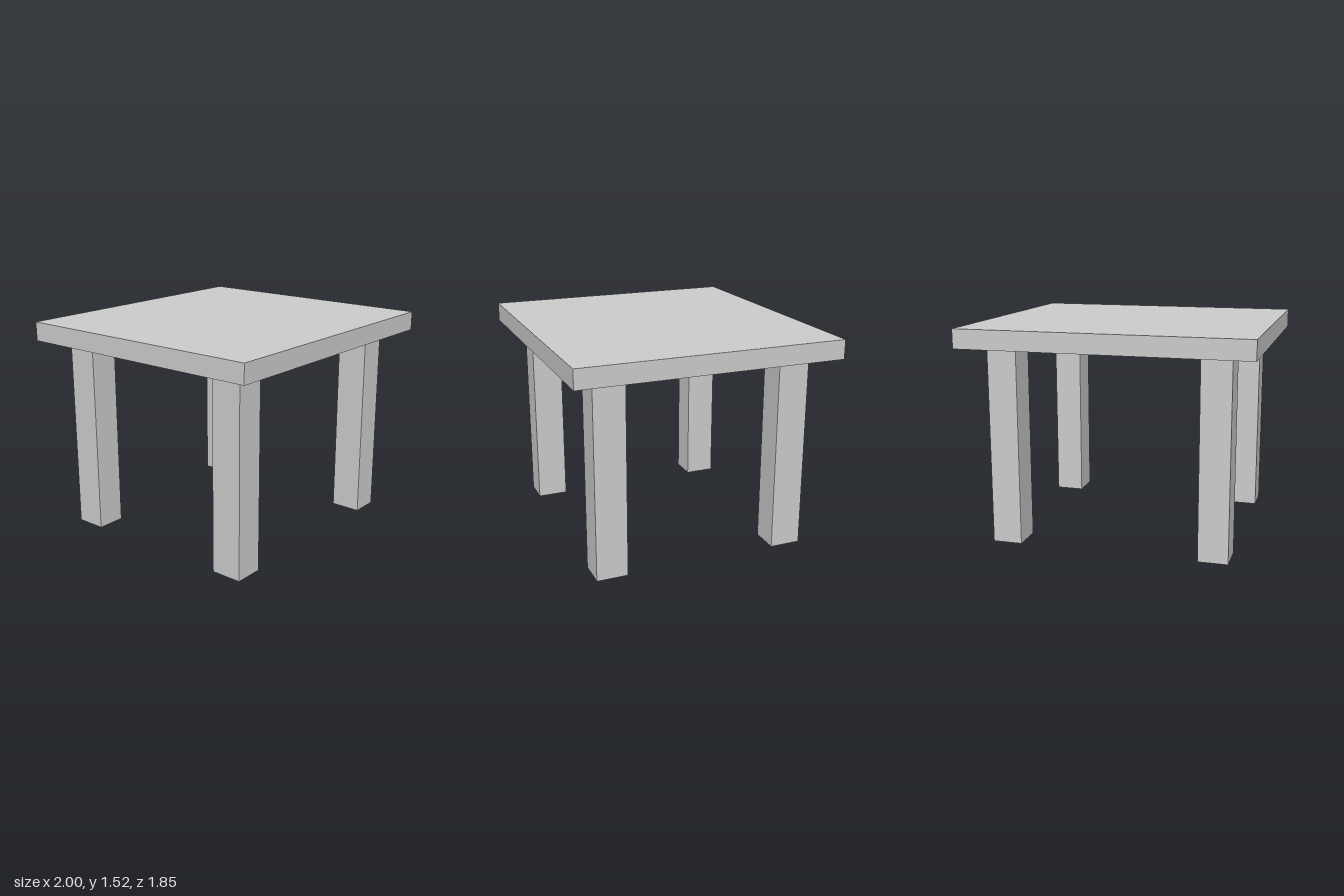
import * as THREE from 'three';

const TOP = { width: 2, depth: 1.853, thickness: 0.134 };
const LEG = { width: 0.206, depth: 0.219, height: 1.382, x: 0.73, z: 0.652 };

export function createModel() {
  const table = new THREE.Group();
  table.name = 'table';
  const material = new THREE.MeshStandardMaterial({ color: 0xcccccc });

  function addBox(name, width, height, depth, x, bottom, z) {
    const mesh = new THREE.Mesh(new THREE.BoxGeometry(width, height, depth), material);
    mesh.name = name;
    mesh.position.set(x, bottom + height / 2, z);
    table.add(mesh);
  }

  // Slab resting on the legs
  addBox('tabletop', TOP.width, TOP.thickness, TOP.depth, 0, LEG.height, 0);

  // Four square legs, inset from the corners
  for (const [side, sx] of [['Left', 1], ['Right', -1]]) {
    for (const [end, sz] of [['front', 1], ['back', -1]]) {
      addBox(`${end}${side}Leg`, LEG.width, LEG.height, LEG.depth, sx * LEG.x, 0, sz * LEG.z);
    }
  }
  return table;
}
